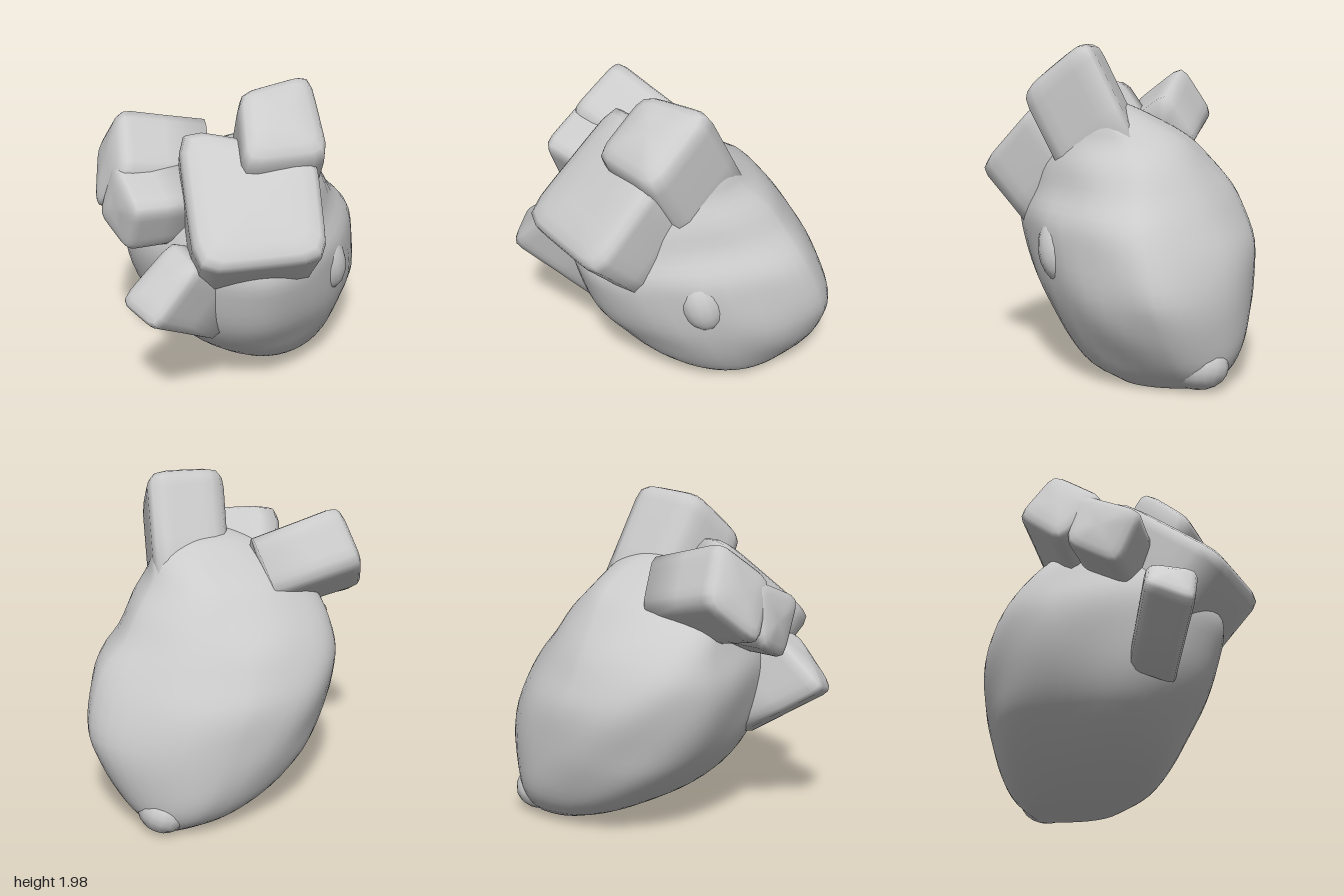
import * as THREE from 'three';

const material = new THREE.MeshStandardMaterial({ color: 0xcccccc });

// Skin a stack of closed rings, with both ends capped; faces are turned outwards by signed volume
function loft(name, rings) {
  const n = rings[0].length, pts = rings.flat(), idx = [];
  for (let i = 0; i < rings.length - 1; i++) {
    for (let j = 0; j < n; j++) {
      const a = i * n + j, b = i * n + (j + 1) % n;
      idx.push([a, a + n, b], [b, a + n, b + n]);
    }
  }
  for (const end of [0, rings.length - 1]) {
    const centre = new THREE.Vector3();
    rings[end].forEach(p => centre.addScaledVector(p, 1 / n));
    const c = pts.push(centre) - 1;
    for (let j = 0; j < n; j++) {
      const a = end * n + j, b = end * n + (j + 1) % n;
      idx.push(end ? [a, c, b] : [a, b, c]);
    }
  }
  const cross = new THREE.Vector3();
  let volume = 0;
  for (const [a, b, c] of idx) volume += cross.crossVectors(pts[b], pts[c]).dot(pts[a]);
  if (volume < 0) idx.forEach(t => t.reverse());
  const geo = new THREE.BufferGeometry().setFromPoints(pts);
  geo.setIndex(idx.flat());
  geo.computeVertexNormals();
  const mesh = new THREE.Mesh(geo, material);
  mesh.name = name;
  return mesh;
}

// Horizontal body sections: y, then x,z of the left, right, front and back extremes
const sections = [
  [0.02, 0.18, -0.30, 0.60, -0.40, 0.34, -0.06, 0.48, -0.64],
  [0.10, -0.04, -0.27, 0.68, -0.45, 0.25, 0.15, 0.40, -0.73],
  [0.22, -0.25, -0.25, 0.76, -0.42, 0.12, 0.29, 0.32, -0.79],
  [0.40, -0.45, -0.22, 0.86, -0.36, 0.02, 0.42, 0.25, -0.83],
  [0.58, -0.56, -0.22, 0.91, -0.31, -0.05, 0.54, 0.18, -0.85],
  [0.80, -0.63, -0.26, 0.87, -0.26, -0.10, 0.62, 0.08, -0.84],
  [0.97, -0.65, -0.30, 0.80, -0.22, -0.13, 0.65, 0.02, -0.77],
  [1.12, -0.62, -0.27, 0.67, -0.22, -0.12, 0.60, 0.03, -0.69],
  [1.28, -0.56, -0.20, 0.57, -0.18, 0.00, 0.52, 0.08, -0.56],
  [1.42, -0.45, -0.12, 0.45, -0.10, 0.03, 0.45, 0.13, -0.43],
  [1.55, -0.30, 0.00, 0.39, 0.00, 0.05, 0.33, 0.15, -0.20],
  [1.62, -0.10, 0.05, 0.28, 0.05, 0.08, 0.20, 0.12, -0.05],
];

// Point on a section, joining the four extremes with quarter ellipses
function sectionPoint([y, xl, zl, xr, zr, xf, zf, xb, zb], t) {
  const c = Math.cos(t), s = Math.sin(t);
  const [ex, ez] = c >= 0 ? [xr, zr] : [xl, zl];
  const [mx, mz] = s >= 0 ? [xf, zf] : [xb, zb];
  // fuller towards the tip, flatter on the +x side higher up
  const k = THREE.MathUtils.smoothstep(y, 0.2, 0.7);
  const p = c >= 0 ? 1 + 0.23 * k : 0.82 + 0.16 * k;
  return new THREE.Vector3(mx + (ex - mx) * Math.abs(c) ** p, y, ez + (mz - ez) * Math.abs(s) ** p);
}

function body() {
  const cols = 48, rows = 33;
  const rings = Array.from({ length: rows + 1 }, () => []);
  for (let j = 0; j < cols; j++) {
    const t = j / cols * Math.PI * 2;
    const curve = new THREE.CatmullRomCurve3(sections.map(s => sectionPoint(s, t)));
    rings.forEach((ring, i) => {
      const p = curve.getPoint(i / rows);
      // gentle uneven surface
      const bump = 0.01 * Math.sin(p.x * 9 + p.y * 5) * Math.sin(p.z * 8 - p.y * 7);
      p.x += Math.cos(t) * bump;
      p.z += Math.sin(t) * bump;
      ring.push(p);
    });
  }
  return loft('body', rings);
}

// Blunt rounded-square vessel: four corners of the cap, and the offset to its root inside the body
function vessel(name, corners, offset, rootScale = 1) {
  const q = corners.map(c => new THREE.Vector3(...c)), off = new THREE.Vector3(...offset);
  const centre = new THREE.Vector3();
  q.forEach(p => centre.addScaledVector(p, 0.25));
  const profile = [[1, rootScale], [0.5, (1.06 + rootScale) / 2], [0.12, 1.06], [0.04, 1.03], [0, 0.94], [-0.03, 0.75], [-0.05, 0.4]];
  const rings = profile.map(([depth, scale]) => Array.from({ length: 32 }, (_, j) => {
    const t = j / 32 * Math.PI * 2, c = Math.cos(t), s = Math.sin(t);
    const r = (Math.abs(c) ** 7 + Math.abs(s) ** 7) ** (-1 / 7);
    const u = (1 + r * c) / 2, v = (1 + r * s) / 2;
    const p = q[0].clone().lerp(q[1], u).lerp(q[3].clone().lerp(q[2], u), v);
    return p.sub(centre).multiplyScalar(scale).add(centre).addScaledVector(off, depth);
  }));
  return loft(name, rings);
}

function lump(name, position, scale, tilt) {
  const mesh = new THREE.Mesh(new THREE.SphereGeometry(1, 16, 10), material);
  mesh.name = name;
  mesh.position.set(...position);
  mesh.scale.set(...scale);
  mesh.rotation.set(...tilt);
  return mesh;
}

export function createModel() {
  const group = new THREE.Group();
  group.name = 'heart';
  group.add(
    body(),
    vessel('frontVessel', [[-0.61, 1.21, 0.69], [0.09, 1.22, 0.88], [0.23, 1.66, 0.47], [-0.42, 1.76, 0.03]], [0.12, -0.5, -0.42]),
    vessel('topVessel', [[-0.21, 1.68, 0.47], [0.27, 1.68, 0.56], [0.36, 2.01, 0.14], [-0.1, 1.98, 0.16]], [0.08, -0.72, -0.38], 1.04),
    vessel('rearVessel', [[-0.67, 1.81, -0.29], [-0.75, 1.5, -0.48], [-0.89, 1.24, -0.2], [-0.78, 1.56, 0.03]], [0.54, -0.13, 0.03]),
    vessel('rearVesselBranch', [[-0.8, 1.57, -0.1], [-0.88, 1.22, -0.16], [-0.82, 1.09, 0.12], [-0.81, 1.42, 0.26]], [0.4, -0.03, 0.04]),
    vessel('sideVessel', [[-0.95, 0.89, 0.31], [-0.6, 1.18, 0.27], [-0.56, 1.13, 0.56], [-0.85, 0.81, 0.57]], [0.45, -0.32, -0.18]),
    // swellings on the front and near the tip
    lump('frontSwelling', [0.42, 0.79, 0.28], [0.14, 0.21, 0.14], [0, 0.6, 0.3]),
    lump('tipSwelling', [0.55, 0.15, -0.56], [0.15, 0.14, 0.18], [0, 0, 0.3]),
  );
  return group;
}
